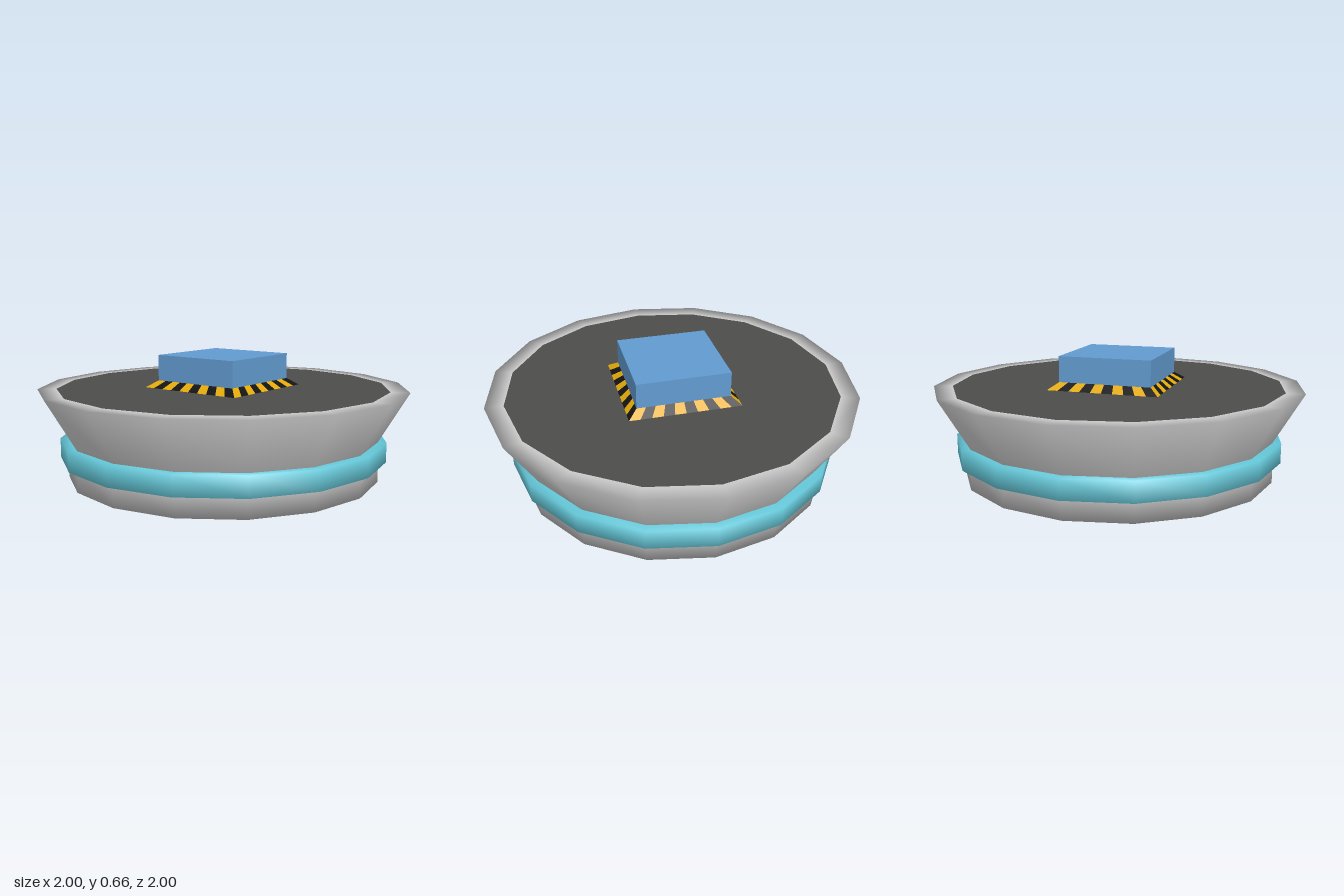
import * as THREE from 'three';

const SIDES = 16;
const TOP = 0.485;
const mat = (color, side = THREE.FrontSide) => new THREE.MeshStandardMaterial({ color, side });

function addMesh(parent, name, geometry, material) {
  const mesh = new THREE.Mesh(geometry, material);
  mesh.name = name;
  parent.add(mesh);
  return mesh;
}

// Sixteen-sided ring with soft normals, from [radius, height] pairs
function ring(profile) {
  return new THREE.LatheGeometry(profile.map(([r, y]) => new THREE.Vector2(r, y)), SIDES);
}

// Every second panel of one sloping side of the warning skirt
function stripes(first, count, outer, inner, y0, y1) {
  const pos = [];
  for (let i = first; i < count; i += 2) {
    const a = (i / count) * 2 - 1;
    const b = ((i + 1) / count) * 2 - 1;
    const p = [[a * outer, y0, outer], [b * outer, y0, outer], [b * inner, y1, inner], [a * inner, y1, inner]];
    for (const k of [0, 1, 2, 0, 2, 3]) pos.push(...p[k]);
  }
  const g = new THREE.BufferGeometry();
  g.setAttribute('position', new THREE.Float32BufferAttribute(pos, 3));
  g.computeVertexNormals();
  return g;
}

export function createModel() {
  const model = new THREE.Group();
  model.name = 'platform';
  const grey = mat(0xcccccc, THREE.DoubleSide);

  // Foot with closed underside
  addMesh(model, 'base', ring([[0, 0], [0.85, 0], [0.85, 0.12]]), grey);

  // Coloured band around the waist
  addMesh(model, 'band', ring([[0.83, 0.11], [0.89, 0.11], [0.89, 0.215], [0.83, 0.215]]),
    mat(0x66cadb, THREE.DoubleSide));

  // Flared body and its flat lip
  addMesh(model, 'flaredRim', ring([[0.835, 0.2], [1, TOP], [0.9, TOP]]), grey);

  // Dark floor
  const deck = addMesh(model, 'deck', new THREE.CircleGeometry(0.9, SIDES), mat(0x4d4d4b));
  deck.rotation.x = -Math.PI / 2;
  deck.position.y = TOP;

  // Warning skirt around the block
  const skirt = new THREE.Group();
  skirt.name = 'warningSkirt';
  const colours = [['yellowStripes', mat(0xe2aa0a)], ['blackStripes', mat(0x141414)]];
  for (let side = 0; side < 4; side++) {
    colours.forEach(([name, material], first) => {
      const m = addMesh(skirt, name, stripes(first, 10, 0.3, 0.25, TOP, 0.522), material);
      m.rotation.y = (side * Math.PI) / 2;
    });
  }
  model.add(skirt);

  // Central block
  const height = 0.66 - TOP;
  const block = addMesh(model, 'centreBlock', new THREE.BoxGeometry(0.5, height, 0.5), mat(0x629bd0));
  block.position.y = TOP + height / 2;

  return model;
}
